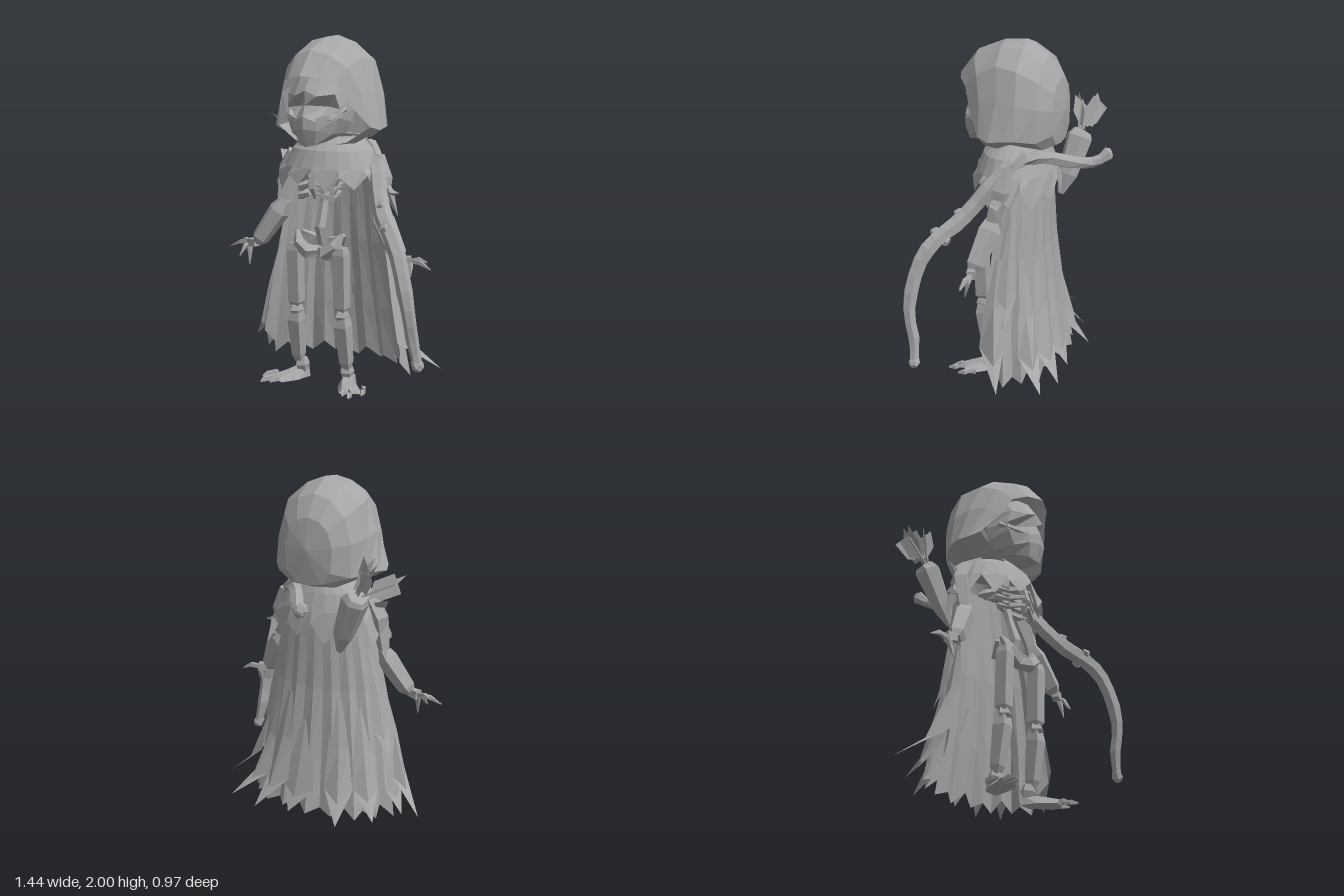
import * as THREE from 'three';

const stone = new THREE.MeshStandardMaterial({ color: 0xa6a6a6, flatShading: true, side: THREE.DoubleSide });
stone.name = 'plain grey';

const V = (p) => new THREE.Vector3(...p);

// Skin a grid of points; rows run along the part, columns around it
function loft(rows, closed) {
  const pos = [];
  const n = rows[0].length;
  for (let i = 0; i < rows.length - 1; i++) {
    for (let j = 0; j < (closed ? n : n - 1); j++) {
      const k = (j + 1) % n;
      const a = rows[i][j], b = rows[i][k], c = rows[i + 1][k], d = rows[i + 1][j];
      pos.push(...a, ...b, ...d, ...b, ...c, ...d);
    }
  }
  const g = new THREE.BufferGeometry();
  g.setAttribute('position', new THREE.Float32BufferAttribute(pos, 3));
  g.computeVertexNormals();
  return g;
}

// Tapered limb through points, with one radius per point
function limb(points, radii, sides = 5) {
  const pts = points.map(V);
  const rows = pts.map((p, i) => {
    const t = pts[Math.min(i + 1, pts.length - 1)].clone().sub(pts[Math.max(i - 1, 0)]).normalize();
    const ref = Math.abs(t.z) > 0.9 ? V([0, 1, 0]) : V([0, 0, 1]);
    const u = ref.cross(t).normalize();
    const w = t.clone().cross(u);
    return Array.from({ length: sides }, (_, k) => {
      const a = ((k + 0.5) / sides) * Math.PI * 2;
      return p.clone().addScaledVector(u, Math.cos(a) * radii[i]).addScaledVector(w, Math.sin(a) * radii[i]).toArray();
    });
  });
  const cap = (p) => Array(sides).fill(p);
  return loft([cap(points[0]), ...rows, cap(points[points.length - 1])], true);
}

const CX = -0.04;

// Point on the cloak: angle from left edge round the back, height, outward factor
function onCloak(deg, y, r = 1) {
  const a = THREE.MathUtils.degToRad(deg);
  const f = 1 - y / 1.33;
  const c = Math.cos(a), s = Math.sin(a);
  return [
    CX + Math.sign(c) * Math.abs(c) ** 0.95 * (0.26 + 0.22 * f) * r,
    y,
    0.03 + 0.07 * Math.min(1, 2 * f) - Math.sign(s) * Math.abs(s) ** 0.88 * (0.15 + 0.19 * f) * r,
  ];
}

export function createModel() {
  const model = new THREE.Group();
  const add = (name, geometry) => {
    const m = new THREE.Mesh(geometry, stone);
    m.name = name;
    model.add(m);
  };
  const both = (half) => [
    ...half.map(([x, y, z]) => [CX + x, y, z]),
    ...half.slice(1, -1).reverse().map(([x, y, z]) => [CX - x, y, z]),
  ];

  // Hood: rings from the face opening to the back of the head
  const hood = [
    [[0, 1.78, .41], [.1, 1.77, .37], [.17, 1.74, .31], [.23, 1.62, .26], [.31, 1.5, .18], [.17, 1.41, .2], [0, 1.37, .2]],
    [[0, 1.92, .3], [.11, 1.89, .28], [.2, 1.82, .23], [.26, 1.68, .19], [.335, 1.48, .11], [.18, 1.4, .12], [0, 1.37, .12]],
    [[0, 1.99, .13], [.1, 1.97, .12], [.21, 1.88, .11], [.28, 1.7, .08], [.325, 1.49, .03], [.2, 1.44, .03], [0, 1.42, .03]],
    [[0, 2, 0], [.11, 1.96, -.01], [.23, 1.86, -.02], [.28, 1.68, -.03], [.3, 1.49, -.04], [.19, 1.43, -.05], [0, 1.41, -.05]],
    [[0, 1.92, -.13], [.1, 1.89, -.13], [.19, 1.8, -.13], [.23, 1.66, -.13], [.23, 1.47, -.13], [.14, 1.41, -.14], [0, 1.4, -.14]],
    [[0, 1.8, -.2], [.07, 1.78, -.2], [.12, 1.73, -.2], [.15, 1.64, -.2], [.14, 1.5, -.2], [.08, 1.43, -.2], [0, 1.42, -.2]],
  ].map(both);
  hood.push(Array(12).fill([CX, 1.62, -.225]));
  add('hood', loft(hood, true));

  // Skull face with sunken eye sockets and narrow jaw
  const face = [
    [[0, 1.79, .3], [.07, 1.79, .28], [.13, 1.77, .23], [.16, 1.76, .1]],
    [[0, 1.7, .36], [.07, 1.67, .355], [.15, 1.68, .29], [.18, 1.68, .13]],
    [[0, 1.62, .36], [.085, 1.61, .25], [.17, 1.6, .27], [.18, 1.6, .13]],
    [[0, 1.56, .385], [.07, 1.53, .36], [.17, 1.55, .28], [.17, 1.52, .13]],
    [[0, 1.49, .385], [.07, 1.48, .36], [.13, 1.46, .29], [.14, 1.46, .15]],
    [[0, 1.39, .35], [.05, 1.4, .34], [.09, 1.42, .27], [.1, 1.45, .15]],
    [[0, 1.41, .2], [.04, 1.41, .2], [.07, 1.43, .18], [.1, 1.45, .13]],
  ].map((h) => [
    ...h.slice(1).reverse().map(([x, y, z]) => [CX - x, y, z]),
    ...h.map(([x, y, z]) => [CX + x, y, z]),
  ]);
  add('skull', loft(face, false));
  for (const s of [-1, 1]) {
    add('cheekbone', limb([[CX + s * .06, 1.54, .35], [CX + s * .13, 1.55, .31], [CX + s * .18, 1.6, .22]], [.012, .02, .015], 4));
  }

  // Shoulder mantle with a torn zigzag hem, higher at the chest
  const mantle = [[1.43, .16, .18, -.1], [1.36, .25, .25, -.13], [1.26, .3, .29, -.16], [1.13, .34, .31, -.18]].map(([y, rx, zf, zb], i) =>
    Array.from({ length: 24 }, (_, j) => {
      const a = (j / 24) * Math.PI * 2;
      const c = Math.cos(a);
      const tear = i === 3 ? [.07, -.05, .04, -.02][j % 4] + Math.max(c, 0) * .06 : 0;
      return [CX + Math.sin(a) * rx, y + tear, .05 + c * (c > 0 ? zf - .05 : .05 - zb)];
    }));
  add('mantle', loft(mantle, true));
  add('collarSpike', loft([[[-.28, 1.39, 0], [-.25, 1.4, .12]], [[-.36, 1.32, -.02], [-.34, 1.2, .1]], [[-.43, 1.33, .02], [-.38, 1.22, .05]]], false));

  // Cloak, open at the front, with soft folds and a ragged hem
  const N = 20;
  add('cloak', loft([1.33, 1.1, .8, .4, .08].map((y, i) =>
    Array.from({ length: N + 1 }, (_, j) => {
      const edge = Math.min(j, N - j);
      const tear = i === 4 ? [.14, .06][edge] ?? [-.02, .04, -.03, .01][j % 4] : 0;
      return onCloak((j / N) * 180, y + tear, 1 + (j % 2 ? -.012 : .012) * i);
    })), false));

  // Torn outer strips, broad and flared: angle, top height, tip point
  const strips = [
    [8, .8, [.61, .11, -.06]], [22, 1.05, [.4, .42, -.03]], [44, .7, [.46, .07, -.27]],
    [64, .75, [.27, .05, -.31]], [84, .6, [.05, .06, -.29]], [114, .75, [-.28, .05, -.32]],
    [136, .7, [-.47, .08, -.22]], [158, 1.05, [-.48, .42, -.03]], [166, .65, [-.57, .08, -.04]], [176, .8, [-.7, .12, -.1]],
  ];
  for (const [deg, top, tip] of strips) {
    const mid = top * .6 + tip[1] * .4;
    const low = top * .25 + tip[1] * .75;
    add('tornStrip', loft([
      [onCloak(deg - 4, top, 1), onCloak(deg, top, 1.01), onCloak(deg + 4, top, 1)],
      [onCloak(deg - 9, mid, 1.04), onCloak(deg, mid, 1.07), onCloak(deg + 9, mid, 1.04)],
      [onCloak(deg - 11, low, 1.06), V(onCloak(deg, low, 1.06)).lerp(V(tip), .4).toArray(), onCloak(deg + 11, low, 1.06)],
      [tip, tip, tip],
    ], false));
  }

  // Spine, ribs and pelvis
  add('spine', limb([[CX, .82, .17], [CX, .92, .2], [CX, 1.05, .16], [CX, 1.2, .12], [CX, 1.42, .12]], [.03, .035, .025, .035, .04]));
  add('breastbone', limb([[CX, 1.25, .25], [CX, 1.15, .28], [CX, 1.09, .25]], [.025, .025, .01], 4));
  for (const s of [-1, 1]) {
    for (let r = 0; r < 3; r++) {
      const y = 1.23 - r * .05;
      add('rib', limb([[CX, y, .13], [CX + s * (.13 - r * .015), y - .01, .16], [CX + s * .11, y - .04, .24], [CX + s * .02, y - .01, .28]],
        [.012, .02, .02, .012], 4));
    }
    add('pelvis', limb([[CX, .78, .2], [CX + s * .06, .78, .25], [CX + s * .12, .82, .24], [CX + s * .15, .89, .21]], [.03, .045, .04, .012]));
    add('hipBlade', limb([[CX, .83, .14], [CX + s * .08, .83, .13], [CX + s * .14, .88, .18]], [.03, .04, .015], 4));
  }

  // Legs and flat three-toed feet
  for (const [s, x] of [[1, .115], [-1, -.19]]) {
    add('thigh', limb([[x, .82, .235], [x, .78, .235], [x, .47, .225], [x, .44, .225]], [.04, .052, .05, .025], 4));
    add('knee', limb([[x, .47, .22], [x, .42, .23], [x, .4, .22]], [.025, .045, .03]));
    add('shin', limb([[x, .43, .22], [x + s * .005, .36, .22], [x + s * .01, .14, .19], [x + s * .01, .1, .18]], [.04, .055, .042, .025], 4));
    add('ankle', limb([[x, .12, .17], [x, .08, .17], [x, .04, .16]], [.03, .045, .035]));
    const fx = (d) => x + s * d;
    add('foot', loft([
      [[fx(-.04), 0, .14], [fx(-.03), .06, .14], [fx(.04), .06, .14], [fx(.05), 0, .14]],
      [[fx(-.02), 0, .24], [fx(.01), .045, .24], [fx(.07), .045, .22], [fx(.11), 0, .21]],
      [[fx(.04), 0, .33], [fx(.06), .025, .33], [fx(.13), .025, .3], [fx(.15), 0, .28]],
    ], true));
    for (const [dx, z] of [[.09, .38], [.14, .4], [.18, .32]]) {
      add('toe', limb([[fx(dx - .04), .018, z - .1], [fx(dx - .01), .018, z - .04], [fx(dx), .01, z]], [.018, .018, .006], 4));
    }
  }

  // Arms: sleeve, bracer and bony fingers
  const arms = [
    [[[-.3, 1.32, .05], [-.36, 1.22, .05], [-.37, 1.02, .09]], [[-.35, 1.04, .09], [-.39, .97, .1], [-.5, .8, .14], [-.52, .77, .15]],
      [[-.72, .73, .14], [-.67, .76, .1], [-.61, .69, .2], [-.56, .64, .17]]],
    [[[.22, 1.32, .03], [.27, 1.2, .04], [.29, 1.02, .09]], [[.27, 1.04, .09], [.31, .97, .1], [.42, .8, .14], [.44, .77, .15]],
      [[.63, .73, .14], [.59, .76, .1], [.53, .69, .19], [.5, .63, .17]]],
  ];
  for (const [upper, fore, tips] of arms) {
    add('upperArm', limb(upper, [.055, .06, .04]));
    add('forearm', limb(fore, [.035, .068, .055, .03], 5));
    const wrist = fore[3];
    const palm = V(wrist).lerp(V(tips[1]), .4).toArray();
    add('palm', limb([wrist, palm], [.03, .035], 4));
    for (const t of tips) {
      const knuckle = V(palm).lerp(V(t), .5);
      knuckle.y += .015;
      add('finger', limb([palm, knuckle.toArray(), t], [.016, .015, .003], 4));
    }
    // Ragged sleeve points
    const e = upper[2], s = Math.sign(e[0]);
    for (const [dx, dy, dz] of [[.06, -.03, -.09], [.08, .1, -.07]]) {
      add('sleeveTatter', limb([upper[1], [e[0] + s * dx * .5, e[1] + .1, e[2] + dz * .5], [e[0] + s * dx, e[1] + dy, e[2] + dz]], [.03, .033, .003], 3));
    }
  }

  // Curved wooden bow across the shoulder
  const bow = new THREE.CatmullRomCurve3([
    [-.13, 1.35, -.45], [-.09, 1.31, -.38], [-.02, 1.32, -.28], [.07, 1.36, -.14], [.16, 1.36, -.03], [.25, 1.27, .07],
    [.32, 1.13, .17], [.4, 1.02, .26], [.48, .955, .335], [.55, .87, .395], [.61, .72, .435], [.65, .55, .445], [.66, .4, .415], [.69, .26, .405],
  ].map(V));
  const steps = 24;
  add('bow', limb(bow.getPoints(steps).map((p) => p.toArray()),
    Array.from({ length: steps + 1 }, (_, i) => .026 + .023 * Math.sin((i / steps) * Math.PI) + (i % 3 === 1 ? .003 : 0)), 6));
  add('bowTopKnob', limb([[-.11, 1.33, -.42], [-.14, 1.355, -.45], [-.15, 1.36, -.465]], [.03, .042, .025], 6));
  add('bowLowerKnob', limb([[.67, .3, .41], [.69, .265, .405], [.71, .25, .4]], [.025, .035, .02], 6));
  for (const [x, y, z] of [[.37, 1.1, .24], [.45, 1.0, .35], [.47, .96, .27]]) {
    add('bowStud', limb([[x, y, z], [x + .01, y - .02, z + .02], [x + .02, y - .04, z + .02]], [.015, .025, .01], 4));
  }

  // Quiver with broad fletched arrows behind the shoulder
  add('quiver', limb([[-.21, 1.05, -.14], [-.25, 1.16, -.17], [-.34, 1.37, -.21], [-.36, 1.4, -.22]], [.02, .06, .08, .06], 6));
  for (const [x, y, z] of [[-.56, 1.48, -.17], [-.46, 1.55, -.29], [-.4, 1.56, -.2]]) {
    const base = V([-.34, 1.38, -.2]), tip = V([x, y, z]);
    add('arrowShaft', limb([base.toArray(), tip.toArray()], [.008, .008], 4));
    for (const [u, w] of [[.035, .03], [.035, -.03]]) {
      const p = (f, s) => base.clone().lerp(tip, f).add(V([u * s, w * s * 1.5, w * s])).toArray();
      add('fletching', loft([[p(.35, 0), p(.35, 0)], [p(.55, -1), p(.55, 1)], [p(1.06, -1), p(1.06, 1)]], false));
    }
  }
  return model;
}
